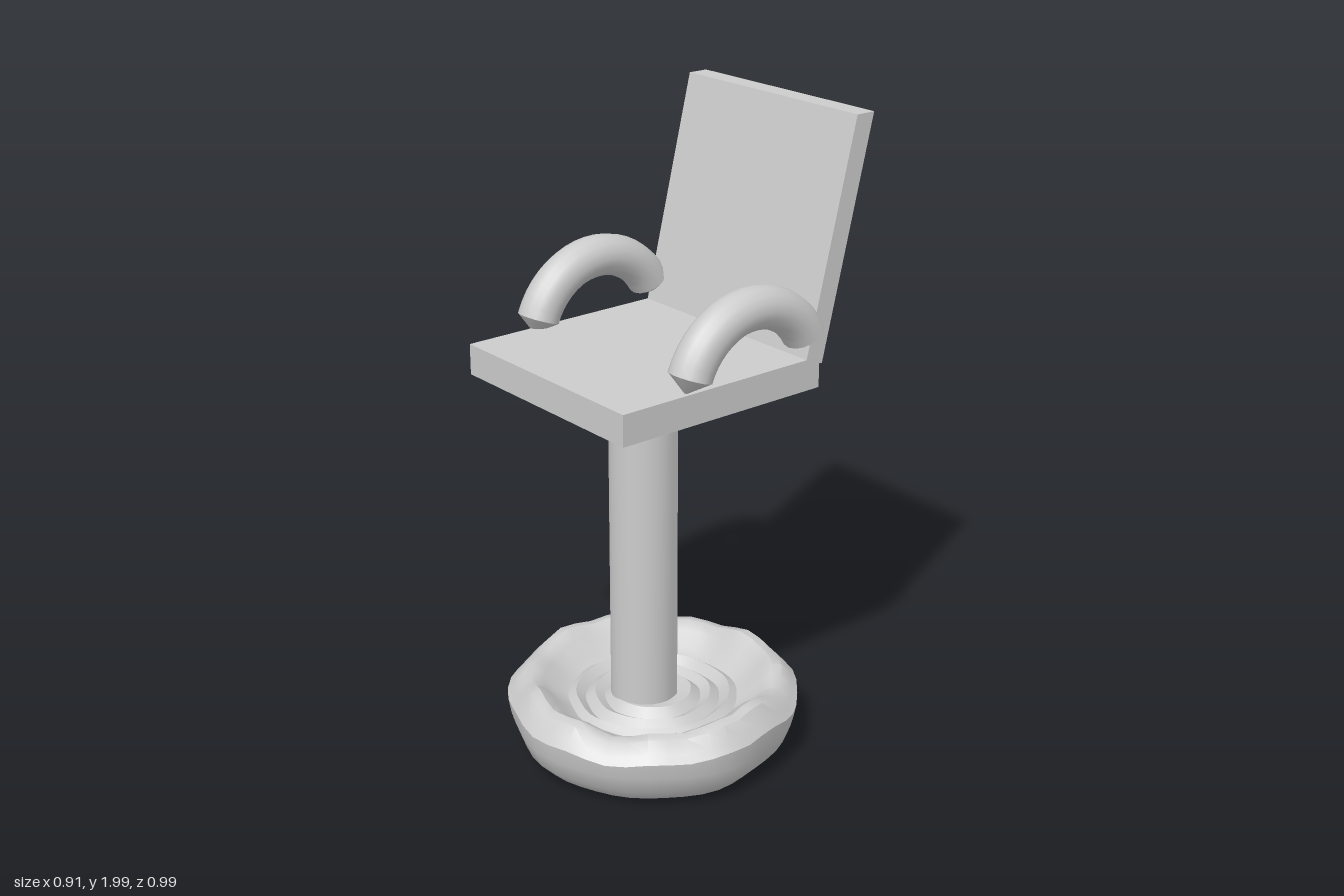
import * as THREE from 'three';
import { toCreasedNormals, mergeVertices } from 'three/addons/utils/BufferGeometryUtils.js';

const material = new THREE.MeshStandardMaterial({ color: 0xcccccc, side: THREE.DoubleSide });

function add(parent, name, geometry, x = 0, y = 0, z = 0) {
  const mesh = new THREE.Mesh(geometry, material);
  mesh.name = name;
  mesh.position.set(x, y, z);
  parent.add(mesh);
  return mesh;
}

// Moves every vertex by a rule, then rebuilds the normals
function reshape(geometry, crease, rule) {
  const p = geometry.attributes.position;
  const v = new THREE.Vector3();
  for (let i = 0; i < p.count; i++) {
    rule(v.fromBufferAttribute(p, i));
    p.setXYZ(i, v.x, v.y, v.z);
  }
  return toCreasedNormals(geometry, crease);
}

// Lumpy round dish with a rolled rim and rings on its floor and underside
function baseGeometry() {
  const profile = [
    [0, 0.03], [0.03, 0.015], [0.06, 0.03], [0.10, 0.012], [0.13, 0.03], [0.18, 0.01],
    [0.21, 0.03], [0.26, 0.008], [0.32, 0.008], [0.38, 0.022], [0.425, 0.07], [0.447, 0.13],
    [0.455, 0.182], [0.435, 0.205], [0.405, 0.238], [0.375, 0.243], [0.34, 0.222], [0.30, 0.18],
    [0.265, 0.163], [0.24, 0.18], [0.21, 0.155], [0.18, 0.178], [0.15, 0.16], [0.12, 0.185], [0.08, 0.18],
  ].map(([r, y]) => new THREE.Vector2(r, y));
  return reshape(new THREE.LatheGeometry(profile, 44), 0.7, (v) => {
    const r = Math.hypot(v.x, v.z);
    const a = Math.atan2(v.z, v.x);
    const upper = THREE.MathUtils.smoothstep(v.y, 0.1, 0.24) * THREE.MathUtils.smoothstep(r, 0.2, 0.38);
    // Uneven outline, wavy rim and one raised lump on the left
    const k = 1 + 0.01 * Math.sin(5 * a + 0.6) + 0.008 * Math.sin(9 * a);
    const lump = Math.exp(-(((a + 0.2) / 0.16) ** 2));
    v.y += upper * (0.012 * Math.sin(4 * a + 1) + 0.008 * Math.sin(11 * a) + 0.035 * lump);
    v.x *= k;
    v.z *= k;
  });
}

// Round post with shallow grooves down its back
function columnGeometry() {
  return reshape(new THREE.CylinderGeometry(0.104, 0.104, 1.12, 32), 0.35, (v) => {
    const step = Math.round(Math.atan2(v.z, v.x) / (Math.PI / 16));
    if (v.z < -0.03 && step % 3 === 0) {
      v.x *= 0.92;
      v.z *= 0.92;
    }
  });
}

// Arched tube with blunt conical ends, lying in the x = 0 plane
function armrestGeometry() {
  const R = 0.235, tube = 0.064, start = 0.35, end = 2.62, sides = 16, rows = 18;
  const positions = [], index = [];
  for (let i = -1; i <= rows + 1; i++) {
    const t = THREE.MathUtils.clamp(i / rows, 0, 1);
    const a = start + (end - start) * t;
    const tip = i < 0 ? -1 : i > rows ? 1 : 0;
    const r = tip ? 0.004 : tube;
    for (let j = 0; j <= sides; j++) {
      const b = (j / sides) * Math.PI * 2;
      const d = R + r * Math.cos(b);
      positions.push(
        r * Math.sin(b),
        d * Math.sin(a) + tip * 0.045 * Math.cos(a),
        d * Math.cos(a) - tip * 0.045 * Math.sin(a),
      );
    }
  }
  const n = sides + 1;
  for (let i = 0; i < rows + 2; i++) {
    for (let j = 0; j < sides; j++) {
      const q = i * n + j;
      index.push(q, q + 1, q + n, q + 1, q + n + 1, q + n);
    }
  }
  const g = new THREE.BufferGeometry();
  g.setAttribute('position', new THREE.Float32BufferAttribute(positions, 3));
  g.setIndex(index);
  // Outward winding check on the crown of the arch
  const merged = mergeVertices(g);
  merged.computeVertexNormals();
  const p = merged.attributes.position, nrm = merged.attributes.normal;
  let top = 0;
  for (let i = 0; i < p.count; i++) if (p.getY(i) > p.getY(top)) top = i;
  if (nrm.getY(top) < 0) merged.index.array.reverse();
  return toCreasedNormals(merged, 0.6);
}

export function createModel() {
  const chair = new THREE.Group();
  chair.name = 'pedestalChair';

  add(chair, 'base', baseGeometry(), 0, 0, 0.037);
  add(chair, 'column', columnGeometry(), -0.02, 0.67, 0.055);
  add(chair, 'seat', new THREE.BoxGeometry(0.73, 0.095, 0.725), -0.025, 1.26, 0.05);

  // Leaning backrest, drawn from the side and extruded across the seat
  const side = new THREE.Shape([
    [0.26, 1.3], [0.323, 1.285], [0.495, 2], [0.43, 2],
  ].map(([z, y]) => new THREE.Vector2(z, y)));
  const back = new THREE.ExtrudeGeometry(side, { depth: 0.73, bevelEnabled: false });
  back.rotateY(Math.PI / 2);
  add(chair, 'backrest', back, -0.39, 0, 0);

  const arm = armrestGeometry();
  add(chair, 'leftArmrest', arm, 0.325, 1.27, -0.055);
  add(chair, 'rightArmrest', arm, -0.392, 1.252, -0.06);

  return chair;
}
